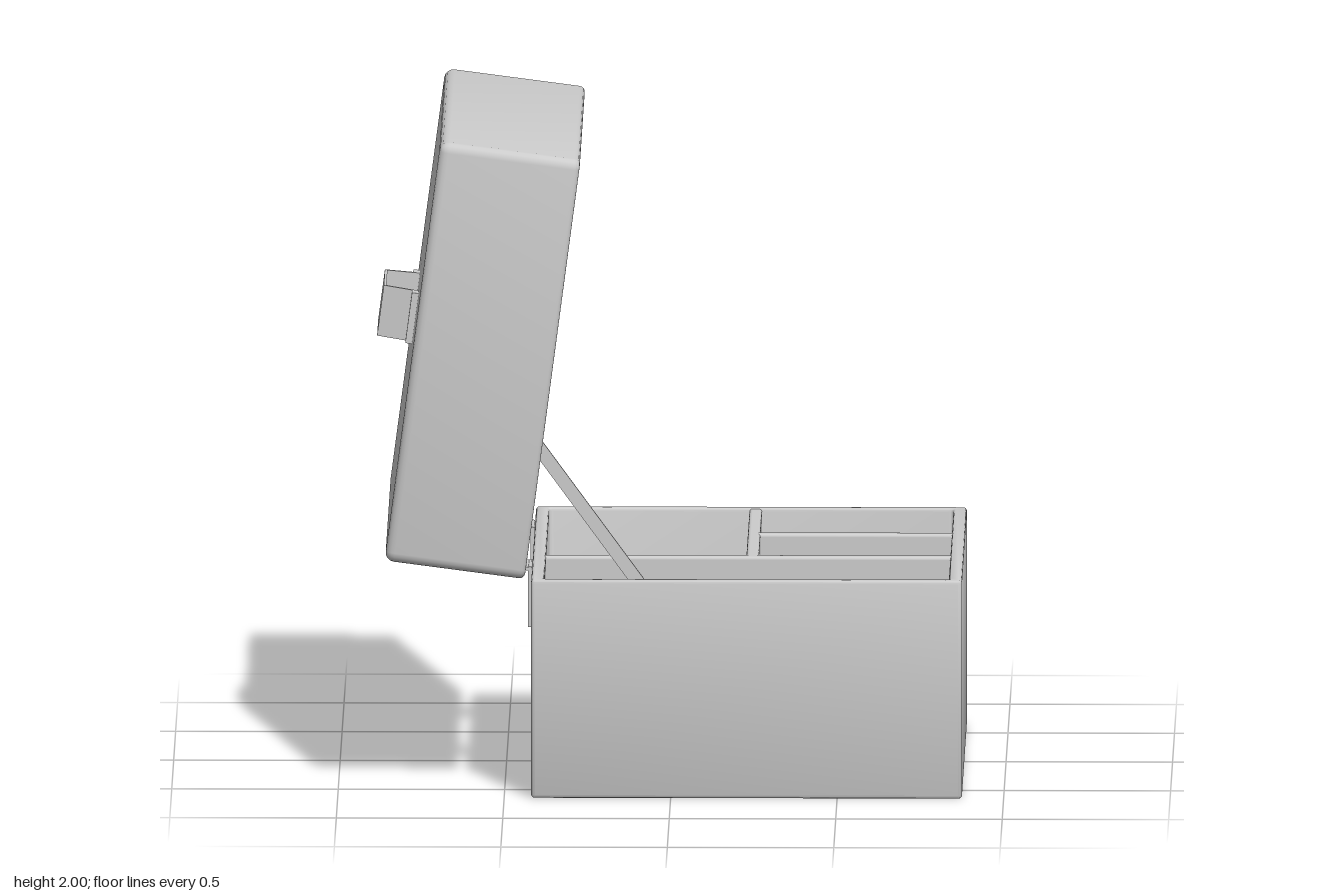
import * as THREE from 'three';
import { toCreasedNormals } from 'three/addons/utils/BufferGeometryUtils.js';
import { RoundedBoxGeometry } from 'three/addons/geometries/RoundedBoxGeometry.js';

const grey = new THREE.MeshStandardMaterial({ color: 0xcccccc });
const thin = new THREE.MeshStandardMaterial({ color: 0xcccccc, side: THREE.DoubleSide });

function add(parent, name, geometry, x = 0, y = 0, z = 0, material = grey) {
  const mesh = new THREE.Mesh(geometry, material);
  mesh.name = name;
  mesh.position.set(x, y, z);
  parent.add(mesh);
  return mesh;
}

// One loop of a rounded rectangle, counter-clockwise seen from above
function ring([hx, hz, y, r]) {
  const steps = 4, points = [];
  for (let c = 0; c < 4; c++) {
    const sx = c === 0 || c === 3 ? 1 : -1, sz = c < 2 ? -1 : 1;
    for (let i = 0; i <= steps; i++) {
      const a = (c + i / steps) * Math.PI / 2;
      points.push([sx * (hx - r) + r * Math.cos(a), y, sz * (hz - r) - r * Math.sin(a)]);
    }
  }
  return points;
}

// Skin over [halfX, halfZ, y, cornerRadius] sections; the first and last close to a point
function loft(sections) {
  const rings = sections.map(ring), pos = [];
  for (let i = 0; i + 1 < rings.length; i++) {
    const a = rings[i], b = rings[i + 1];
    for (let j = 0; j < a.length; j++) {
      const k = (j + 1) % a.length;
      if (sections[i][0] > 0) pos.push(...a[j], ...a[k], ...b[k]);
      if (sections[i + 1][0] > 0) pos.push(...a[j], ...b[k], ...b[j]);
    }
  }
  const g = new THREE.BufferGeometry();
  g.setAttribute('position', new THREE.Float32BufferAttribute(pos, 3));
  return toCreasedNormals(g, 0.6);
}

// Quarter-round run of sections between a wall and a flat
function quarter(hx, hz, y, r, corner, from, to) {
  const out = [];
  for (let i = 0; i <= 4; i++) {
    const a = from + (to - from) * i / 4;
    out.push([hx + r * Math.cos(a), hz + r * Math.cos(a), y + r * Math.sin(a), Math.max(0.004, corner + r * (Math.cos(a) - 1))]);
  }
  return out;
}

// Open tray: outer walls, rounded rim, inner walls and filleted floor
function tray(hx, hz, h, edge, wallX, wallZ, floor, fillet, stepY) {
  const q = Math.PI / 2, ix = hx - wallX, iz = hz - wallZ, e = Math.min(edge, wallX / 3, wallZ / 3);
  const step = stepY ? [[ix, iz, stepY, 0.012], [ix - 0.006, iz - 0.006, stepY, 0.012]] : [];
  const s = stepY ? 0.006 : 0;
  return loft([
    [0, 0, 0, 0],
    ...quarter(hx - edge, hz - edge, edge, edge, edge + 0.002, -q, 0),
    ...quarter(hx - e, hz - e, h - e, e, edge + 0.002, 0, q),
    ...quarter(ix + e, iz + e, h - e, e, 0.012 + 2 * e, q, 2 * q),
    ...step,
    ...quarter(ix - s - fillet, iz - s - fillet, floor + fillet, fillet, fillet + 0.012, 0, -q),
    [0, 0, floor, 0],
  ]);
}

export function createModel() {
  const model = new THREE.Group();
  model.name = 'openBox';

  // Base tray with its dividers
  const base = new THREE.Group();
  base.name = 'base';
  model.add(base);
  add(base, 'baseTray', tray(0.647, 0.646, 0.665, 0.01, 0.04, 0.032, 0.04, 0.01), 0.228, 0, 0.005);
  const dividers = [ // x0, x1, z0, z1
    [-0.39, 0.845, 0.185, 0.222],
    [0.222, 0.26, -0.62, 0.2],
    [0.24, 0.845, -0.21, -0.175],
  ];
  for (const [x0, x1, z0, z1] of dividers) {
    add(base, 'divider', new RoundedBoxGeometry(x1 - x0, 0.633, z1 - z0, 3, 0.01),
      (x0 + x1) / 2, 0.346, (z0 + z1) / 2);
  }

  // Lid, standing open and leaning back
  const lid = new THREE.Group();
  lid.name = 'lid';
  lid.position.set(-0.565, 1.333, 0);
  lid.rotation.z = -0.131;
  model.add(lid);
  const shell = tray(0.645, 0.663, 0.424, 0.028, 0.054, 0.063, 0.055, 0.045, 0.18);
  shell.rotateZ(-Math.PI / 2);
  add(lid, 'lidShell', shell, -0.212, 0, 0);

  // Strap handle: a bent plate with two feet
  const t = 0.008;
  const outline = [
    [0, -0.203], [0, -0.152], [-0.098, -0.13], [-0.098, 0.13], [0, 0.152], [0, 0.203],
    [-t, 0.203], [-t, 0.16], [-0.098 - t, 0.138], [-0.098 - t, -0.138], [-t, -0.16], [-t, -0.203],
  ];
  const strap = new THREE.ExtrudeGeometry(
    new THREE.Shape(outline.map(([x, z]) => new THREE.Vector2(x, -z))), { depth: 0.155, bevelEnabled: false });
  strap.rotateX(-Math.PI / 2);
  add(lid, 'handle', strap, -0.212, -0.055, 0, thin);
  for (const side of [-1, 1]) {
    add(lid, 'handleFoot', new THREE.BoxGeometry(0.02, 0.155, 0.045), -0.222, 0.0225, side * 0.181);
  }

  // Hinges: one leaf on the base, one under the lid, and a pin
  for (const side of [-1, 1]) {
    const hinge = new THREE.Group();
    hinge.name = 'hinge';
    hinge.position.z = side * 0.345;
    model.add(hinge);
    add(hinge, 'baseLeaf', new THREE.BoxGeometry(0.012, 0.18, 0.13), -0.425, 0.57, 0);
    const leaf = add(hinge, 'lidLeaf', new THREE.BoxGeometry(0.16, 0.01, 0.13), -0.505, 0.667, 0);
    leaf.rotation.z = -0.131;
    const pin = add(hinge, 'pin', new THREE.CylinderGeometry(0.007, 0.007, 0.13, 10), -0.425, 0.657, 0);
    pin.rotation.x = Math.PI / 2;
  }

  // Flat stay that holds the lid open
  const low = new THREE.Vector2(-0.08, 0.625), high = new THREE.Vector2(-0.43, 1.105);
  const run = high.clone().sub(low);
  const stay = add(model, 'lidStay', new THREE.BoxGeometry(0.04, run.length(), 0.01),
    (low.x + high.x) / 2, (low.y + high.y) / 2, 0.592);
  stay.rotation.z = run.angle() - Math.PI / 2;

  return model;
}
